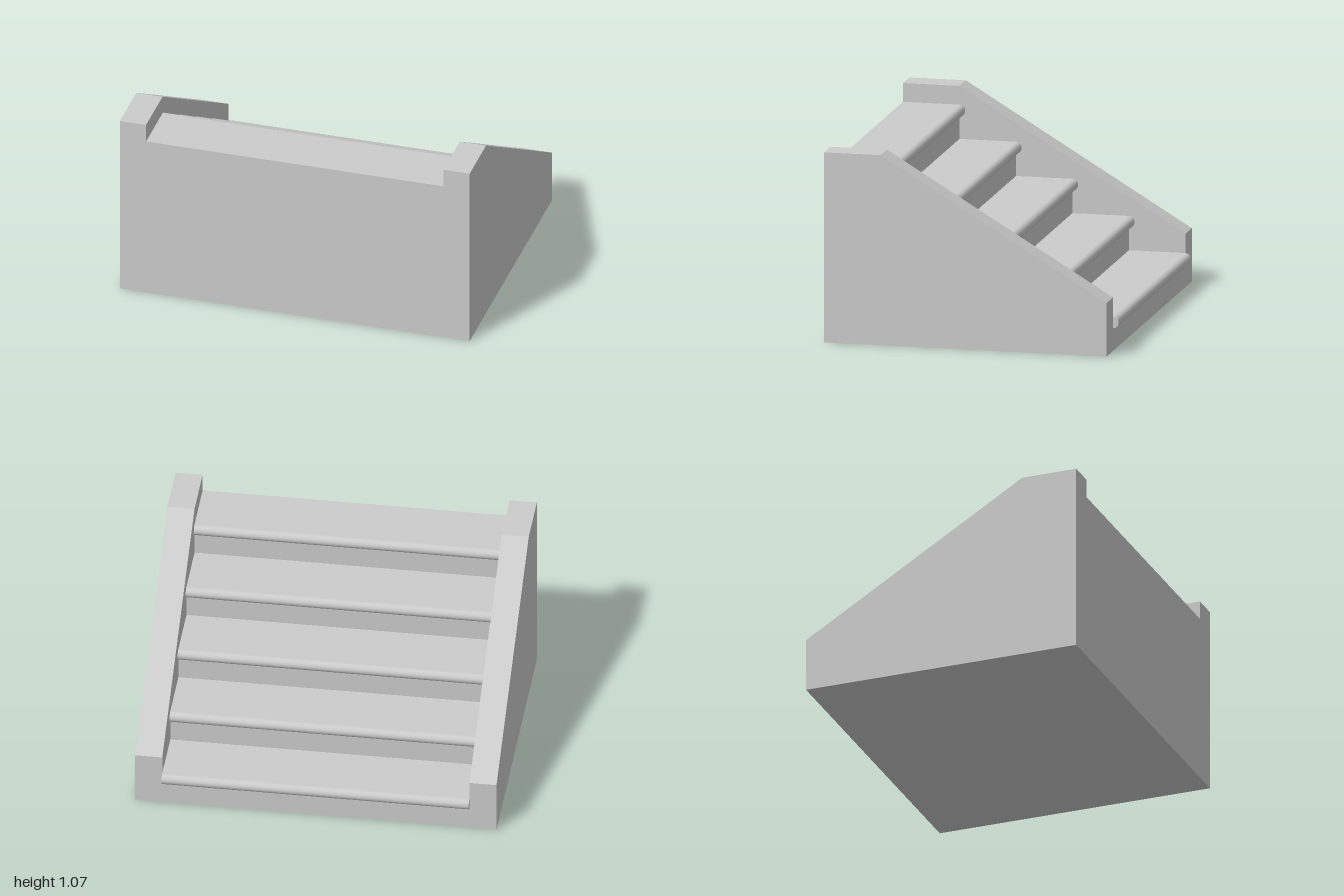
import * as THREE from 'three';

const STEPS = 5;
const RISE = 0.192;
const FRONT = -0.78;   // first riser
const BACK = 0.812;    // tall rear face
const RUN = (BACK - FRONT) / STEPS;
const HALF = 0.85;     // half the stair width
const WALL = 0.15;
const NOSE = 0.032;

const material = new THREE.MeshStandardMaterial({ color: 0xcccccc });

// Extrudes a [z, y] outline along x, centred on x = 0
function sideProfile(points, width, name) {
  const shape = new THREE.Shape(points.map(([z, y]) => new THREE.Vector2(z, y)));
  const geometry = new THREE.ExtrudeGeometry(shape, { depth: width, bevelEnabled: false });
  geometry.translate(0, 0, -width / 2).rotateY(-Math.PI / 2);
  const mesh = new THREE.Mesh(geometry, material);
  mesh.name = name;
  return mesh;
}

export function createModel() {
  const model = new THREE.Group();
  model.name = 'staircase';

  // Solid flight of steps, climbing towards +z
  const outline = [[BACK, 0], [FRONT, 0]];
  for (let i = 0; i < STEPS; i++) {
    const y = (i + 1) * RISE;
    outline.push([FRONT + i * RUN, y], [FRONT + (i + 1) * RUN, y]);
  }
  model.add(sideProfile(outline, HALF * 2, 'steps'));

  // Half-round nosing flush with the top of every tread
  const noseGeometry = new THREE.CylinderGeometry(
    NOSE, NOSE, HALF * 2, 16, 1, false, Math.PI / 2, Math.PI);
  noseGeometry.rotateZ(Math.PI / 2);
  for (let i = 0; i < STEPS; i++) {
    const nose = new THREE.Mesh(noseGeometry, material);
    nose.name = `nosing${i + 1}`;
    nose.position.set(0, (i + 1) * RISE - NOSE, FRONT + i * RUN);
    model.add(nose);
  }

  // Sloping side walls
  const wallOutline = [[FRONT, 0], [BACK, 0], [BACK, 1.065], [0.494, 1.065], [FRONT, 0.3]];
  for (const [side, name] of [[1, 'leftWall'], [-1, 'rightWall']]) {
    const wall = sideProfile(wallOutline, WALL, name);
    wall.position.x = side * (HALF + WALL / 2);
    model.add(wall);
  }

  return model;
}
